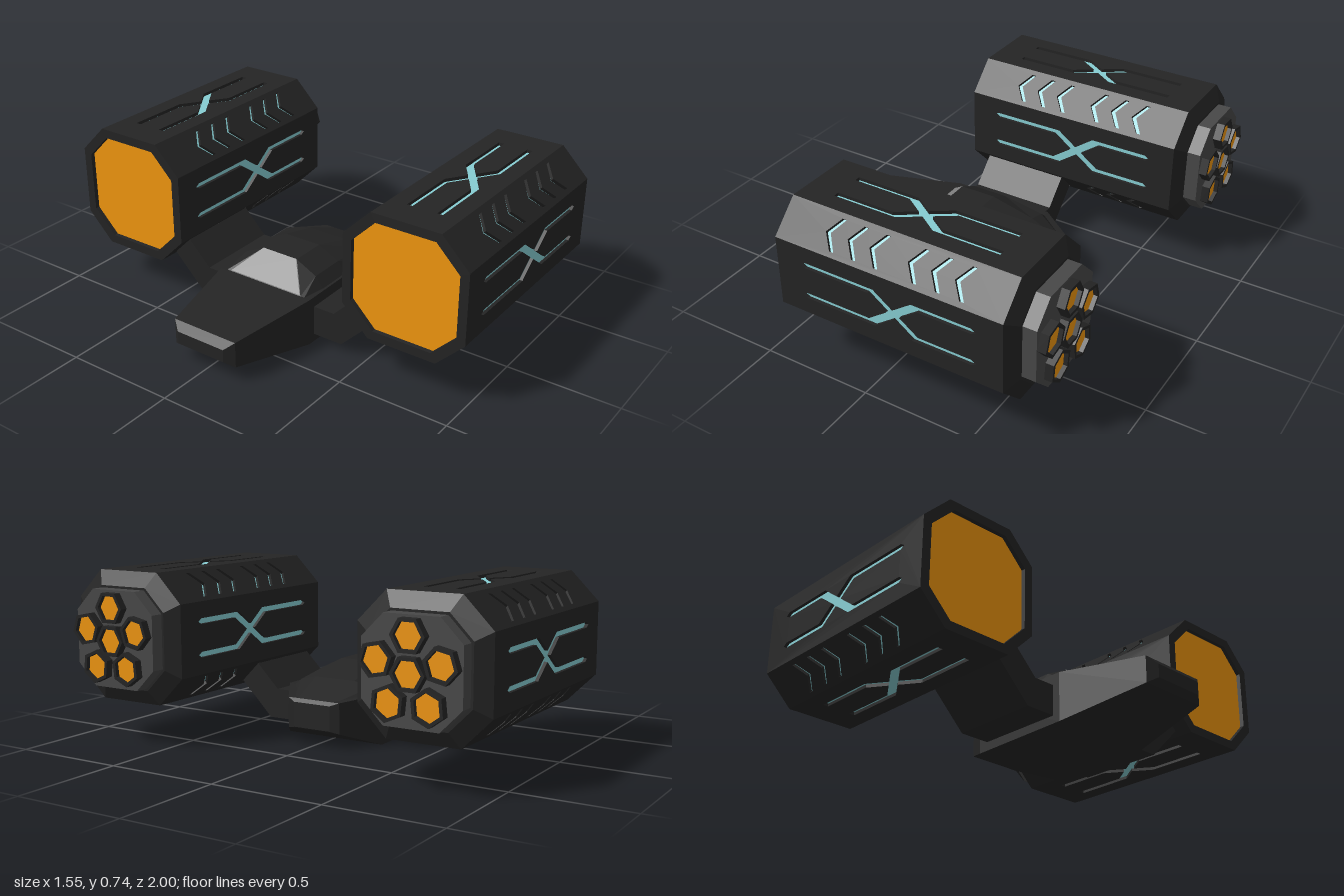
import * as THREE from 'three';

const mat = (color, side = THREE.FrontSide) =>
  new THREE.MeshStandardMaterial({ color, flatShading: true, side });
const dark = mat(0x242424), grey = mat(0x484848), glass = mat(0x808080, THREE.DoubleSide);
const orange = mat(0xf0960f), teal = mat(0x86cdd2);

function add(parent, name, geometry, material) {
  const mesh = new THREE.Mesh(geometry, material);
  mesh.name = name;
  parent.add(mesh);
  return mesh;
}

// Closed faceted solid from rings of [x, y, z], ordered from +y towards +z
function loft(rings) {
  const pos = [];
  const tri = (...pts) => pts.forEach((p) => pos.push(...p));
  const n = rings[0].length;
  for (let i = 0; i < rings.length - 1; i++) {
    for (let j = 0; j < n; j++) {
      const k = (j + 1) % n, p = rings[i], q = rings[i + 1];
      tri(p[j], p[k], q[k]);
      tri(p[j], q[k], q[j]);
    }
  }
  const first = rings[0], last = rings[rings.length - 1];
  for (let j = 1; j < n - 1; j++) {
    tri(first[0], first[j + 1], first[j]);
    tri(last[0], last[j], last[j + 1]);
  }
  const g = new THREE.BufferGeometry();
  g.setAttribute('position', new THREE.Float32BufferAttribute(pos, 3));
  g.computeVertexNormals();
  return g;
}

const shapeOf = (pts) => new THREE.Shape(pts.map(([x, y]) => new THREE.Vector2(x, y)));
// Extrudes a (-z, y) outline along x
function extrudeX(shape, x, depth) {
  return new THREE.ExtrudeGeometry(shape, { depth, bevelEnabled: false })
    .rotateY(Math.PI / 2).translate(x, 0, 0);
}
const flatX = (shape, x) => new THREE.ShapeGeometry(shape).rotateY(Math.PI / 2).translate(x, 0, 0);

// Octagon with half-width h and half-length f of its straight sides
const octagon = (h, f = h * 0.556) =>
  [[h, -f], [h, f], [f, h], [-f, h], [-h, f], [-h, -f], [-f, -h], [f, -h]];
const octRing = (x, h) => octagon(h).map(([y, z]) => [x, y, z]);
const hexagon = (r, turn) => Array.from({ length: 6 }, (_, i) => {
  const a = turn + i * Math.PI / 3;
  return [r * Math.cos(a), r * Math.sin(a)];
});

// Two parallel stripes that swap places in a cross at x = cx
function crossStripes(x0, x1, cx, h, b, tip) {
  const t = 0.0125, m = h / b, v = 0.018 * Math.hypot(1, m);
  const outer = (h + t - v) / m, inner = (h - t + v) / m;
  const end = (x, s) => (tip ? [[x - s * tip, h + t], [x, h], [x - s * tip, h - t]] : [[x, h + t], [x, h - t]]);
  const right = [[cx, v], [cx + outer, h + t], ...end(x1, 1), [cx + inner, h - t], [cx + v / m, 0]];
  const left = [[cx, v], [cx - outer, h + t], ...end(x0, -1), [cx - inner, h - t], [cx - v / m, 0]];
  const flip = (pts) => pts.map(([x, y]) => [x, -y]);
  return [...right, ...flip(right).reverse().slice(1), ...flip(left).slice(1), ...left.reverse().slice(1, -1)];
}

const chevron = (x) =>
  [[0, 0], [0.048, 0.067], [0.068, 0.067], [0.023, 0], [0.068, -0.067], [0.048, -0.067]]
    .map(([u, w]) => [x + u, w]);

const H = 0.284, F = 0.158, BACK = -0.39, SHOULDER = 0.645, GROOVE = 0.015;
const sideStripes = [crossStripes(-0.275, 0.53, 0.16, 0.0725, 0.1, 0.02)];
const topStripes = [crossStripes(-0.25, 0.508, 0.127, 0.0675, 0.1, 0)];
const chevrons = [-0.184, -0.08, 0.022, 0.197, 0.3, 0.404].map(chevron);

function createPod(name, z) {
  const pod = new THREE.Group();
  pod.name = name;
  pod.position.set(0, 0.46, z);

  // Eight armour panels with engraved, coloured grooves
  for (let i = 0; i < 8; i++) {
    const diagonal = i % 2 === 1;
    const half = diagonal ? (H - F) / Math.SQRT2 : F;
    const apothem = diagonal ? (H + F) / Math.SQRT2 : H;
    const marks = diagonal ? chevrons : i % 4 === 0 ? sideStripes : topStripes;
    const panel = shapeOf([[BACK, -half], [SHOULDER, -half], [SHOULDER, half], [BACK, half]]);
    panel.holes = marks.map(shapeOf);
    const side = new THREE.Group();
    side.name = 'podSide';
    side.rotation.x = i * Math.PI / 4;
    add(side, 'panel', new THREE.ExtrudeGeometry(panel, { depth: GROOVE, bevelEnabled: false })
      .translate(0, 0, apothem - GROOVE), dark);
    add(side, 'grooveInlay', new THREE.ShapeGeometry(marks.map(shapeOf))
      .translate(0, 0, apothem - GROOVE + 0.001), teal);
    pod.add(side);
  }

  // Rear rim around a recessed glowing plate
  const rim = shapeOf(octagon(H - 0.001));
  rim.holes = [shapeOf(octagon(H - 0.04))];
  add(pod, 'rearRim', extrudeX(rim, BACK, 0.04), dark);
  add(pod, 'rearPlate', loft([octRing(BACK + 0.02, H - 0.038), octRing(BACK + 0.04, H - 0.038)]), orange);

  // Tapered shoulder and collar at the muzzle
  add(pod, 'shoulder', loft([octRing(SHOULDER, H), octRing(0.68, 0.22)]), dark);
  add(pod, 'collar', loft([octRing(0.67, 0.21), octRing(0.74, 0.21)]), grey);

  // One central hexagonal tube and five around it
  for (let k = 0; k < 6; k++) {
    const turn = k * Math.PI * 0.4, r = k === 5 ? 0 : 0.141;
    const tube = new THREE.Group();
    tube.name = 'launchTube';
    tube.position.set(0, -0.004 + r * Math.cos(turn), r * Math.sin(turn));
    const ring = shapeOf(hexagon(0.073, turn));
    ring.holes = [shapeOf(hexagon(0.058, turn))];
    add(tube, 'tubeRing', extrudeX(ring, 0.735, 0.04), dark);
    add(tube, 'tubeCore', flatX(shapeOf(hexagon(0.06, turn)), 0.757), orange);
    pod.add(tube);
  }
  return pod;
}

export function createModel() {
  const model = new THREE.Group();
  model.name = 'twinPodCraft';

  // Hull: rectangular sections [x, bottom, top, half-width]
  const hull = [
    [-0.775, 0.095, 0.153, 0.12], [-0.745, 0.07, 0.186, 0.16], [-0.35, 0.005, 0.222, 0.24],
    [0.13, 0, 0.222, 0.24], [0.3, 0.065, 0.2, 0.13], [0.315, 0.075, 0.185, 0.09],
  ].map(([x, lo, hi, w]) => [[x, hi, -w], [x, hi, w], [x, lo, w], [x, lo, -w]]);
  add(model, 'hull', loft(hull), dark);

  // Canopy: half sections of [y, z] from the centre outwards, mirrored
  const canopy = [
    [-0.345, [0.222, 0.19], [0.221, 0.21], [0.2, 0.235]],
    [-0.235, [0.32, 0.09], [0.27, 0.19], [0.21, 0.238]],
    [-0.07, [0.32, 0.09], [0.27, 0.19], [0.21, 0.238]],
    [0.13, [0.265, 0.1], [0.245, 0.18], [0.2, 0.235]],
    [0.3, [0.2, 0.08], [0.195, 0.1], [0.17, 0.12]],
  ].map(([x, ...half]) => [
    ...half.map(([y, z]) => [x, y, z]),
    ...half.map(([y, z]) => [x, y, -z]).reverse(),
  ]);
  add(model, 'canopy', loft(canopy), dark);

  // Sloping windscreen
  const screen = new THREE.PlaneGeometry(1, 1);
  [[-0.238, 0.323, -0.088], [-0.238, 0.323, 0.088], [-0.345, 0.227, -0.185], [-0.345, 0.227, 0.185]]
    .forEach((p, i) => screen.attributes.position.setXYZ(i, ...p));
  screen.computeVertexNormals();
  add(model, 'windscreen', screen, glass);

  // Cranked pylons and weapon pods on both sides
  for (const [s, label] of [[1, 'front'], [-1, 'rear']]) {
    const outline = [[0.2, 0.04], [0.38, 0.04], [0.56, 0.22], [0.5, 0.335], [0.34, 0.175], [0.2, 0.175]];
    add(model, label + 'Pylon', extrudeX(shapeOf(outline.map(([z, y]) => [-s * z, y])), -0.315, 0.4), dark);
    model.add(createPod(label + 'Pod', s * 0.716));
  }
  return model;
}
